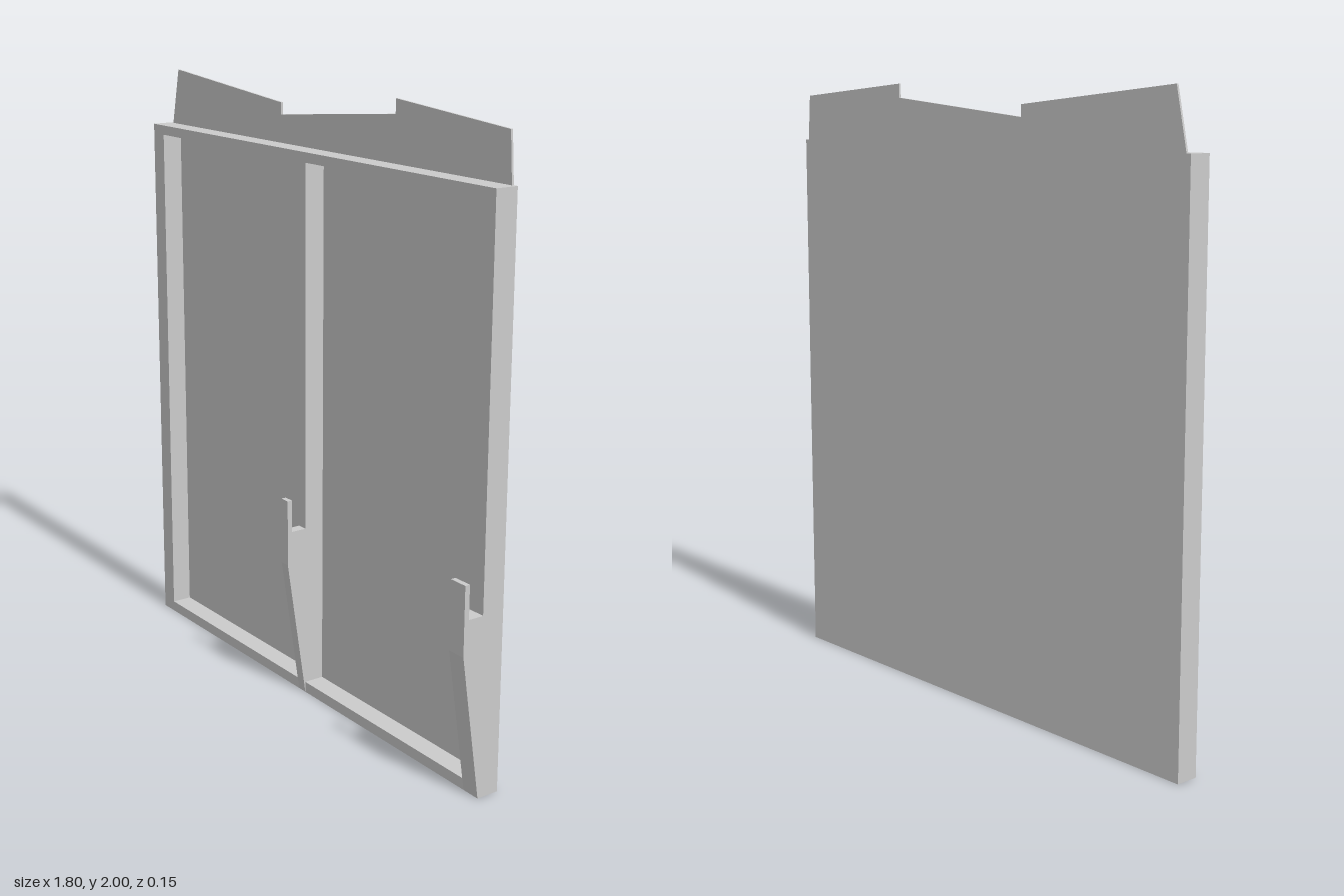
import * as THREE from 'three';

const BACK = -0.073, PANEL_FRONT = -0.066, FRAME_FRONT = 0.003, HOOK_FRONT = 0.073;
const FRAME_TOP = 1.81, HALF_WIDTH = 0.902;

const outline = (points) => points.map(([x, y]) => new THREE.Vector2(x, y));
const rect = (x0, y0, x1, y1) => outline([[x0, y0], [x1, y0], [x1, y1], [x0, y1]]);

export function createModel() {
  const group = new THREE.Group();
  const material = new THREE.MeshStandardMaterial({ color: 0xcccccc, flatShading: true });

  const add = (name, geometry) => {
    const mesh = new THREE.Mesh(geometry, material);
    mesh.name = name;
    group.add(mesh);
  };
  const extrude = (shape, depth) =>
    new THREE.ExtrudeGeometry(shape, { depth, bevelEnabled: false });

  // Thin back panel with a jagged upper edge
  const panel = new THREE.Shape(outline([
    [-HALF_WIDTH, 0], [HALF_WIDTH, 0], [HALF_WIDTH, FRAME_TOP], [0.886, FRAME_TOP],
    [0.875, 1.96], [0.375, 2], [0.375, 1.955], [-0.215, 1.9], [-0.215, 1.938],
    [-0.845, 1.997], [-0.886, FRAME_TOP], [-HALF_WIDTH, FRAME_TOP],
  ]));
  add('backPanel', extrude(panel, PANEL_FRONT - BACK).translate(0, 0, BACK));

  // Frame with two tall openings and a centre post
  const frame = new THREE.Shape(rect(-HALF_WIDTH, 0, HALF_WIDTH, FRAME_TOP));
  for (const [x0, x1] of [[-0.838, -0.018], [0.018, 0.838]]) {
    frame.holes.push(new THREE.Path(rect(x0, 0.036, x1, 1.778)));
  }
  add('frame', extrude(frame, FRAME_FRONT - PANEL_FRONT).translate(0, 0, PANEL_FRONT));

  // Tapered hooks on the centre post and the left post; profile is (z, y)
  const hook = new THREE.Shape(outline([
    [FRAME_FRONT, 0], [HOOK_FRONT, 0.47], [HOOK_FRONT, 0.69],
    [0.056, 0.69], [0.056, 0.582], [FRAME_FRONT, 0.582],
  ]));
  for (const [name, x0, x1] of [
    ['centreHook', -0.018, 0.018],
    ['leftHook', 0.838, HALF_WIDTH],
  ]) {
    add(name, extrude(hook, x1 - x0).rotateY(-Math.PI / 2).translate(x1, 0, 0));
  }

  return group;
}
